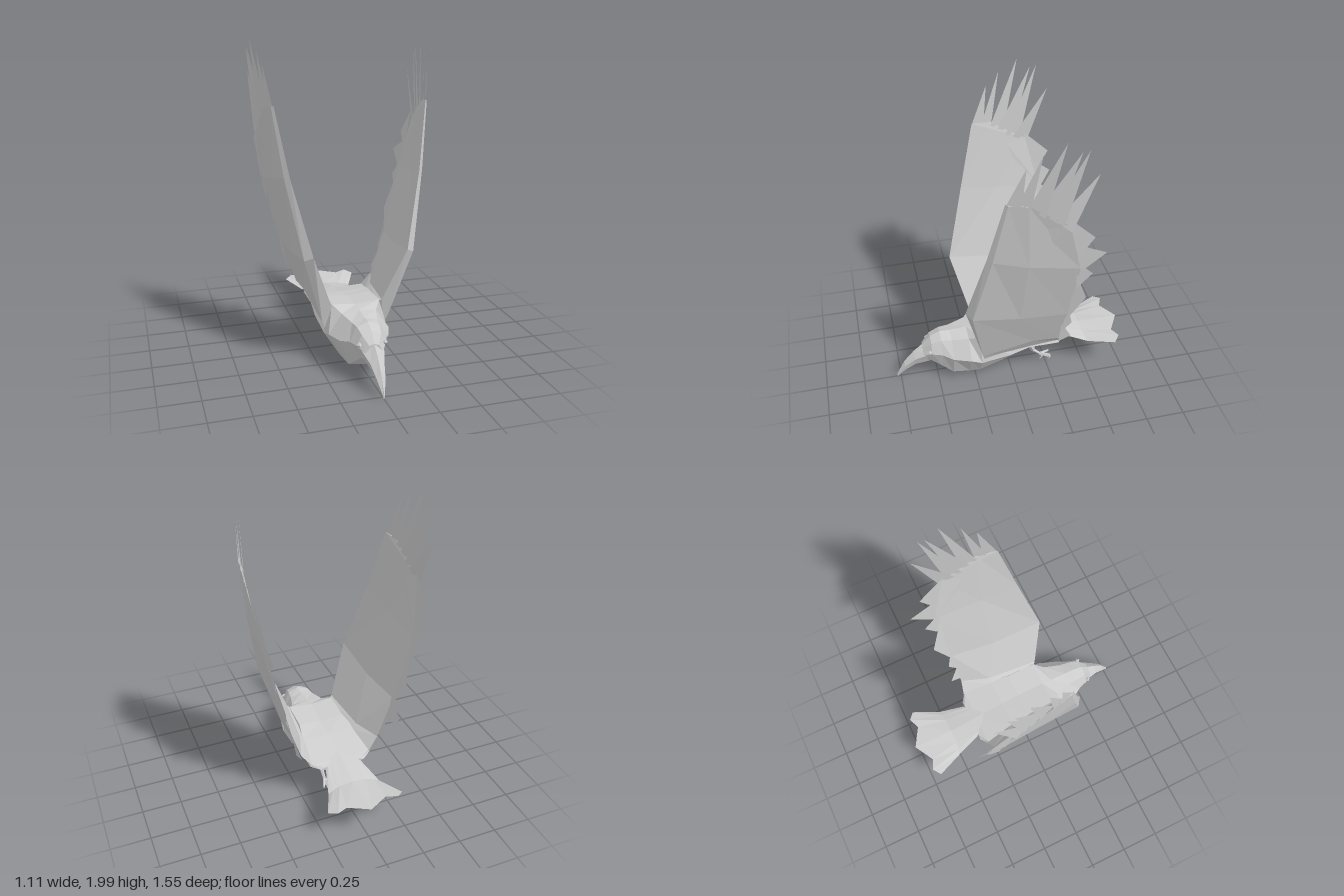
import * as THREE from 'three';

const plumage = new THREE.MeshStandardMaterial({ color: 0xcccccc, flatShading: true, side: THREE.DoubleSide });
plumage.name = 'plumage grey';

function meshFromTriangles(name, tris) {
  const geo = new THREE.BufferGeometry();
  geo.setAttribute('position', new THREE.Float32BufferAttribute(tris.flat(2), 3));
  geo.computeVertexNormals();
  const mesh = new THREE.Mesh(geo, plumage);
  mesh.name = name;
  return mesh;
}

// Skin closed rings of equal length, with optional end caps
function loft(name, rings, flip = false, caps = true) {
  const tris = [];
  const add = (a, b, c) => tris.push(flip ? [a, c, b] : [a, b, c]);
  const n = rings[0].length;
  for (let i = 0; i < rings.length - 1; i++) {
    for (let j = 0; j < n; j++) {
      const k = (j + 1) % n;
      const a = rings[i][j], b = rings[i][k], c = rings[i + 1][j], d = rings[i + 1][k];
      add(a, b, c);
      add(b, d, c);
    }
  }
  const first = rings[0], last = rings[rings.length - 1];
  for (let j = 1; caps && j < n - 1; j++) {
    add(first[0], first[j + 1], first[j]);
    add(last[0], last[j], last[j + 1]);
  }
  return meshFromTriangles(name, tris);
}

// Half profile (top centre, round +x side, to bottom centre) to a full ring
const mirrorRing = half => [...half, ...half.slice(1, -1).reverse().map(([x, y, z]) => [-x, y, z])];
const section = (z, pts) => mirrorRing(pts.map(([x, y]) => [x, y, z]));

function buildBody() {
  return loft('body', [
    section(-0.34, [[0, 0.27], [0.12, 0.275], [0.15, 0.265], [0.08, 0.24], [0, 0.235]]),
    section(-0.30, [[0, 0.285], [0.20, 0.295], [0.21, 0.28], [0.09, 0.235], [0, 0.225]]),
    section(-0.10, [[0, 0.335], [0.18, 0.345], [0.21, 0.28], [0.10, 0.19], [0, 0.165]]),
    section(0.03, [[0, 0.355], [0.155, 0.37], [0.215, 0.24], [0.12, 0.13], [0, 0.11]]),
    section(0.22, [[0, 0.37], [0.155, 0.385], [0.205, 0.20], [0.11, 0.05], [0, 0.04]]),
    section(0.29, [[0, 0.36], [0.11, 0.345], [0.195, 0.22], [0.10, 0.045], [0, 0.04]]),
    section(0.40, [[0, 0.352], [0.08, 0.33], [0.155, 0.22], [0.10, 0.06], [0, 0.045]]),
    section(0.47, [[0, 0.355], [0.07, 0.33], [0.115, 0.24], [0.08, 0.11], [0, 0.10]]),
    section(0.535, [[0, 0.325], [0.06, 0.305], [0.092, 0.24], [0.065, 0.16], [0, 0.14]]),
    section(0.59, [[0, 0.265], [0.03, 0.255], [0.055, 0.21], [0.035, 0.16], [0, 0.145]]),
  ], true);
}

function buildBeak() {
  const part = (z, top, w, bottom) =>
    section(z, [[0, top], [w, top * 0.55 + bottom * 0.45], [w * 0.6, bottom], [0, bottom]]);
  return loft('beak', [
    part(0.55, 0.295, 0.075, 0.145),
    part(0.65, 0.215, 0.043, 0.115),
    part(0.72, 0.135, 0.026, 0.065),
    part(0.775, 0.03, 0.004, 0.005),
  ], true);
}

// Fan tail running out to a thin notched edge
function buildTail() {
  const edge = [[0, 0.25, -0.775], [0.13, 0.245, -0.70], [0.20, 0.25, -0.73], [0.25, 0.235, -0.69]];
  return loft('tail', [
    [...edge, edge[2], edge[1], edge[0]],
    [[0, 0.25, -0.50], [0.09, 0.24, -0.50], [0.14, 0.228, -0.51], [0.175, 0.215, -0.52], [0.14, 0.205, -0.51], [0.09, 0.20, -0.51], [0, 0.20, -0.50]],
    [[0, 0.31, -0.24], [0.07, 0.29, -0.30], [0.10, 0.28, -0.33], [0.122, 0.265, -0.35], [0.10, 0.245, -0.33], [0.07, 0.225, -0.30], [0, 0.215, -0.27]],
  ].map(mirrorRing), true, false);
}

// Outward position of the feather sheet at a given height and depth
const sheet = [[0.2, 0.25], [0.4, 0.285], [0.56, 0.335], [0.8, 0.395], [1, 0.45], [1.2, 0.485], [1.42, 0.52], [1.77, 0.537], [2, 0.562]];
function sheetX(y, z) {
  let i = 0;
  while (i < sheet.length - 2 && y > sheet[i + 1][0]) i++;
  const [y0, x0] = sheet[i], [y1, x1] = sheet[i + 1];
  return x0 + (x1 - x0) * (y - y0) / (y1 - y0) - Math.max(0, z + 0.25) * 0.11;
}

function buildWing(side) {
  const wing = new THREE.Group();
  wing.name = side > 0 ? 'leftWing' : 'rightWing';
  const place = ([x, y, z]) => [side * x, y, z];

  // Panel rings: front edge, outer front, outer middle, trailing edge, inner middle
  const rings = [
    [[0.14, 0.37, 0.22], [0.19, 0.21, 0.20], [0.195, 0.26, -0.05], [0.19, 0.28, -0.31], [0.15, 0.33, -0.08]],
    [[0.165, 0.39, 0.24], [0.215, 0.27, 0.215], [0.255, 0.377, -0.11], [0.265, 0.375, -0.29], [0.20, 0.37, -0.10]],
    [[0.295, 0.735, 0.334], [0.345, 0.71, 0.30], [0.35, 0.67, 0], [0.36, 0.66, -0.30], [0.315, 0.68, 0]],
    [[0.405, 1.20, 0.22], [0.435, 1.20, 0.19], [0.46, 1.15, -0.02], [0.47, 1.10, -0.33], [0.435, 1.15, -0.02]],
    [[0.473, 1.615, 0.124], [0.487, 1.61, 0.11], [0.507, 1.60, 0], [0.52, 1.45, -0.235], [0.50, 1.60, 0]],
  ];
  wing.add(loft('wingPanel', rings.map(r => r.map(place)), side < 0));

  // Feathers as [front base, tip, rear base], each point (z, y)
  const feathers = [
    [[0.122, 1.607], [0.02, 1.846], [0.04, 1.60]],
    [[0.06, 1.60], [-0.064, 1.925], [-0.01, 1.58]],
    [[0, 1.58], [-0.186, 1.99], [-0.09, 1.52]],
    [[-0.05, 1.55], [-0.27, 1.93], [-0.15, 1.49]],
    [[-0.10, 1.50], [-0.31, 1.936], [-0.20, 1.46]],
    [[-0.15, 1.48], [-0.38, 1.777], [-0.244, 1.41]],
    [[-0.22, 1.50], [-0.39, 1.34], [-0.30, 1.20]],
    [[-0.27, 1.30], [side > 0 ? -0.477 : -0.40, 1.204], [-0.33, 1.08]],
    [[-0.30, 1.15], [-0.41, 1.04], [-0.32, 0.93]],
    [[-0.31, 1.05], [-0.40, 0.806], [-0.30, 0.62]],
    [[-0.30, 0.72], [side > 0 ? -0.34 : -0.445, 0.56], [-0.275, 0.48]],
    [[-0.28, 0.55], [-0.355, 0.40], [-0.27, 0.37]],
  ];
  // Each feather is tilted slightly so that it overlaps the next
  const tilt = [-0.01, 0, 0.01];
  const tris = feathers.map(f => f.map(([z, y], i) => place([sheetX(y, z) + tilt[i], y, z])));
  wing.add(meshFromTriangles('flightFeathers', side > 0 ? tris : tris.map(t => [...t].reverse())));
  return wing;
}

// Tapered four-sided rod between two points
function rod(name, from, to, r0, r1) {
  const a = new THREE.Vector3(...from), b = new THREE.Vector3(...to);
  const mesh = new THREE.Mesh(new THREE.CylinderGeometry(r1, r0, a.distanceTo(b), 4), plumage);
  mesh.position.copy(a).lerp(b, 0.5);
  mesh.quaternion.setFromUnitVectors(new THREE.Vector3(0, 1, 0), b.sub(a).normalize());
  mesh.name = name;
  return mesh;
}

function buildLeg(side) {
  const leg = new THREE.Group();
  leg.name = side > 0 ? 'leftLeg' : 'rightLeg';
  const x = side * 0.075, ankle = [x, 0.07, -0.215];
  leg.add(rod('thigh', [x, 0.20, -0.13], [x, 0.11, -0.165], 0.03, 0.012));
  leg.add(rod('shank', [x, 0.115, -0.165], ankle, 0.012, 0.009));
  for (const [dx, y, z] of [[-0.03, 0.06, -0.28], [0, 0.045, -0.285], [0.03, 0.06, -0.28], [0, 0.04, -0.225]]) {
    leg.add(rod('toe', ankle, [x + dx, y, z], 0.012, 0.007));
    leg.add(rod('claw', [x + dx, y, z], [x + dx, y - 0.02, z + 0.015], 0.007, 0.002));
  }
  return leg;
}

export function createModel() {
  const bird = new THREE.Group();
  bird.name = 'bird';
  bird.add(buildBody(), buildBeak(), buildTail());
  for (const side of [1, -1]) {
    bird.add(buildWing(side), buildLeg(side));
    const eye = new THREE.Mesh(new THREE.OctahedronGeometry(0.018), plumage);
    eye.position.set(side * 0.08, 0.25, 0.55);
    eye.name = 'eye';
    bird.add(eye);
  }
  return bird;
}
